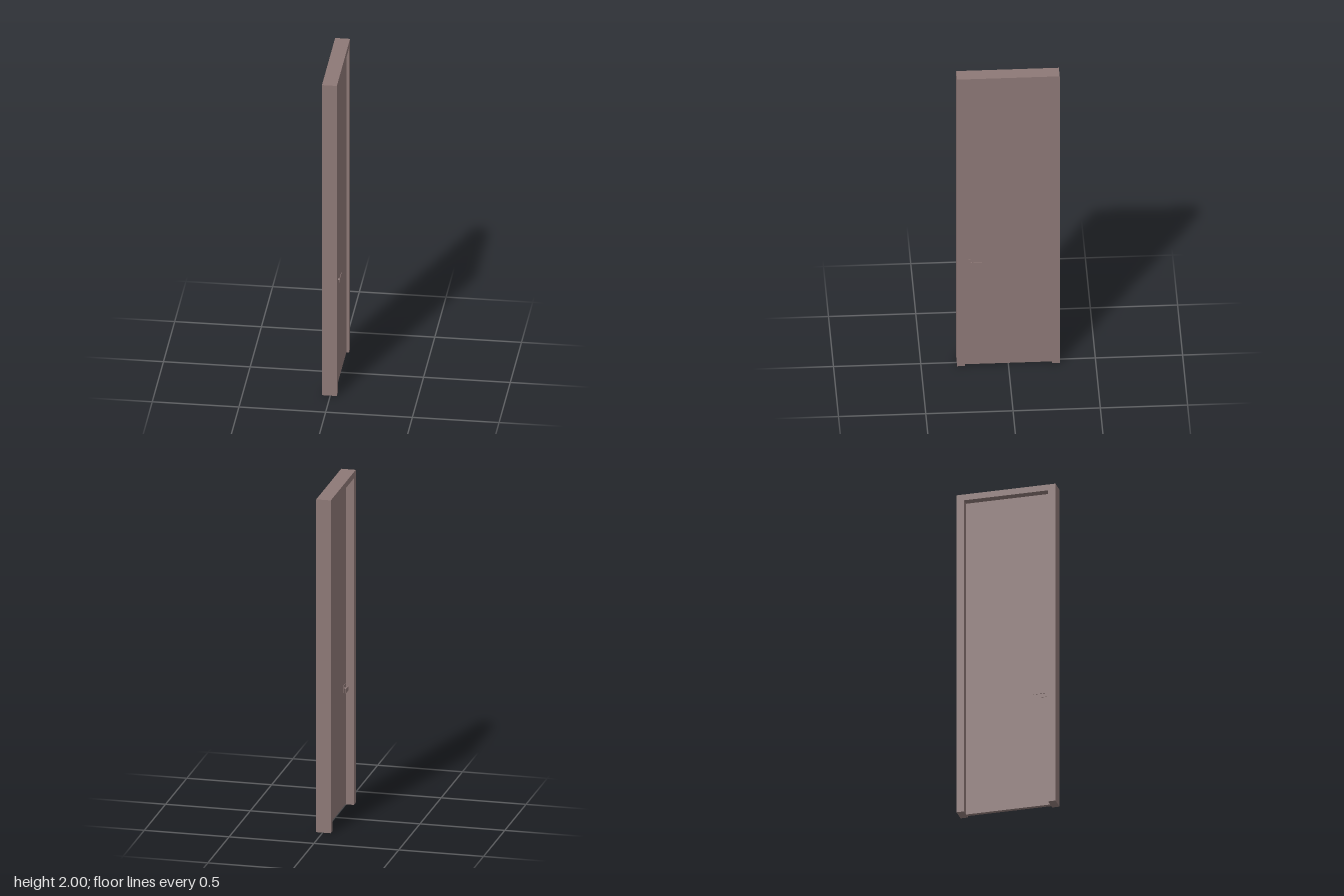
import * as THREE from 'three';

export function createModel() {
  const model = new THREE.Group();
  const material = new THREE.MeshStandardMaterial({ color: 0x8d7876 });

  function box(name, parent, x0, x1, y0, y1, z0, z1) {
    const mesh = new THREE.Mesh(new THREE.BoxGeometry(x1 - x0, y1 - y0, z1 - z0), material);
    mesh.position.set((x0 + x1) / 2, (y0 + y1) / 2, (z0 + z1) / 2);
    mesh.name = name;
    parent.add(mesh);
    return mesh;
  }

  // Door frame: one upside-down U, extruded through the wall thickness
  const w = 0.294, inner = 0.25, top = 1.963, depth = 0.086;
  const outline = [
    [-w, 0], [-inner, 0], [-inner, top], [inner, top],
    [inner, 0], [w, 0], [w, 2], [-w, 2],
  ].map(([x, y]) => new THREE.Vector2(x, y));
  const frameGeometry = new THREE.ExtrudeGeometry(new THREE.Shape(outline), { depth, bevelEnabled: false });
  frameGeometry.rotateY(Math.PI / 2);
  const frame = new THREE.Mesh(frameGeometry, material);
  frame.position.x = -0.048;
  frame.name = 'doorFrame';
  model.add(frame);

  // Door leaf, set deeper on the -x side
  const leafBack = 0, leafFront = 0.023;
  box('doorLeaf', model, leafBack, leafFront, 0.002, top, -inner, inner);

  // Handle on each face: backplate, stem and flat lever
  for (const side of [1, -1]) {
    const handle = new THREE.Group();
    handle.name = side > 0 ? 'outerHandle' : 'innerHandle';
    box('backplate', handle, 0, 0.003, 0.684, 0.732, 0.198, 0.228);
    const stem = new THREE.Mesh(new THREE.CylinderGeometry(0.006, 0.006, 0.02, 12), material);
    stem.rotation.z = Math.PI / 2;
    stem.position.set(0.012, 0.71, 0.211);
    stem.name = 'stem';
    handle.add(stem);
    box('lever', handle, 0.021, 0.024, 0.697, 0.723, 0.152, 0.224);
    // Mirror by position so that the faces keep their winding
    if (side < 0) handle.children.forEach((part) => { part.position.x *= -1; });
    handle.position.x = side > 0 ? leafFront : leafBack;
    model.add(handle);
  }

  return model;
}
